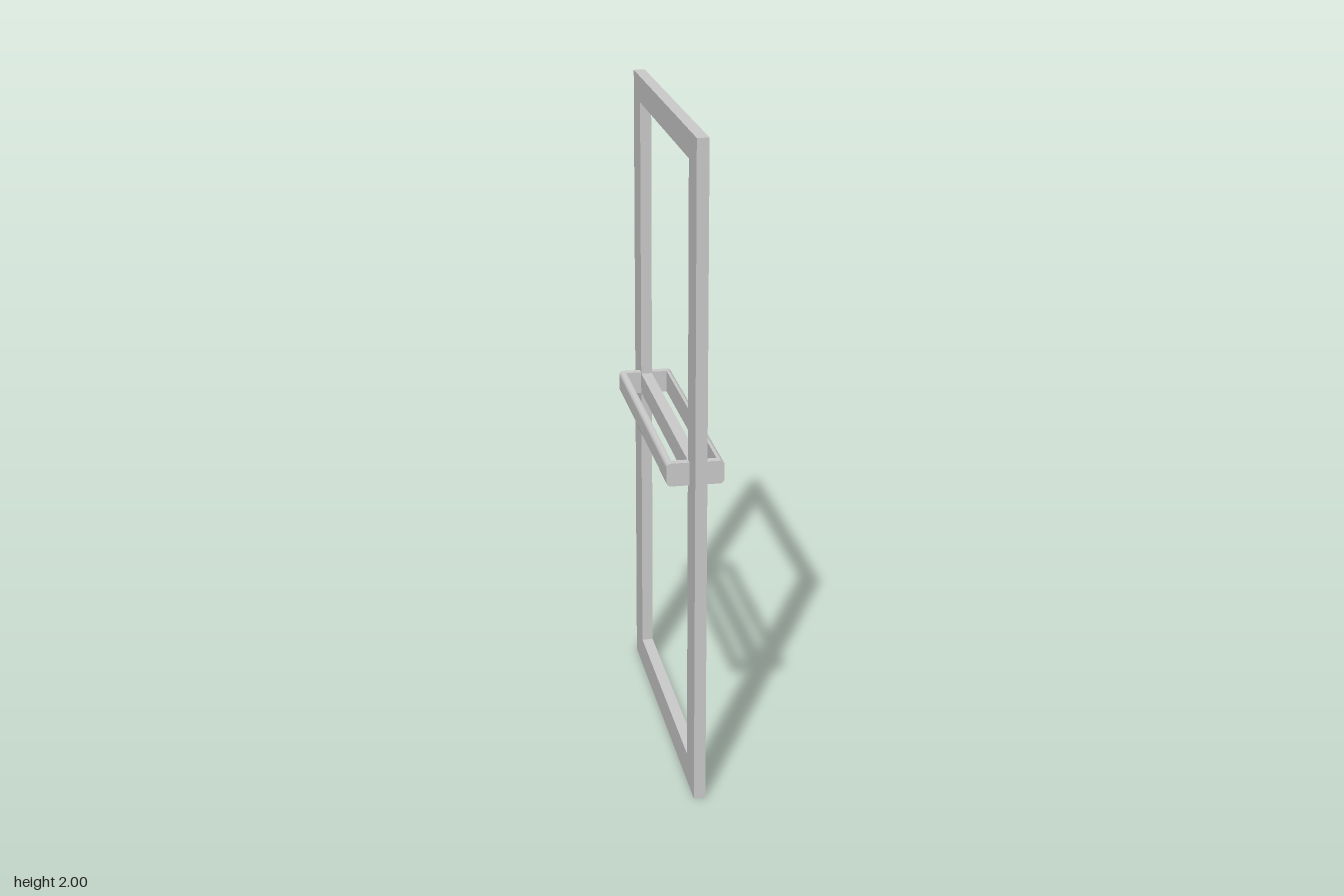
import * as THREE from 'three';

const material = new THREE.MeshStandardMaterial({ color: 0xcccccc });
const Z = 0.0025; // the handles and opening sit slightly forward of the frame centre

function addMesh(parent, name, geometry) {
  const mesh = new THREE.Mesh(geometry, material);
  mesh.name = name;
  parent.add(mesh);
  return mesh;
}

// Upright profile from x0 to x1 with its two outer corners rounded, swept along z
function roundedSlab(x0, x1, y0, y1, z0, z1, r = 0.014) {
  const s = new THREE.Shape();
  s.moveTo(x0, y0);
  s.lineTo(x1 - r, y0);
  s.absarc(x1 - r, y0 + r, r, -Math.PI / 2, 0, false);
  s.absarc(x1 - r, y1 - r, r, 0, Math.PI / 2, false);
  s.lineTo(x0, y1);
  s.closePath();
  return new THREE.ExtrudeGeometry(s, { depth: z1 - z0, bevelEnabled: false, curveSegments: 6 })
    .translate(0, 0, z0);
}

export function createModel() {
  const model = new THREE.Group();
  model.name = 'doorWithPushBars';

  // Flat door frame with two openings, drawn in z-y and turned into the x = 0 plane
  const T = 0.035, W = 0.5275;
  const outline = new THREE.Shape();
  outline.moveTo(-W, 0);
  outline.lineTo(W, 0);
  outline.lineTo(W, 2);
  outline.lineTo(-W, 2);
  outline.closePath();
  for (const [y0, y1] of [[0.09, 0.972], [1.036, 1.92]]) {
    const hole = new THREE.Path();
    hole.moveTo(Z - 0.41, y0);
    hole.lineTo(Z - 0.41, y1);
    hole.lineTo(Z + 0.41, y1);
    hole.lineTo(Z + 0.41, y0);
    hole.closePath();
    outline.holes.push(hole);
  }
  const frame = new THREE.ExtrudeGeometry(outline, { depth: T, bevelEnabled: false });
  frame.translate(0, 0, -T / 2).rotateY(-Math.PI / 2);
  addMesh(model, 'doorFrame', frame);

  // A push bar on each face, held off the door by a bracket at each end
  for (const side of [1, -1]) {
    const handle = new THREE.Group();
    handle.name = side > 0 ? 'leftPushBar' : 'rightPushBar';
    handle.rotation.y = side > 0 ? 0 : Math.PI;
    handle.position.z = Z;
    addMesh(handle, 'bar', roundedSlab(0.066, 0.085, 0.97, 1.04, -0.412, 0.412));
    for (const [z0, z1] of [[-0.4375, -0.412], [0.412, 0.4375]]) {
      addMesh(handle, 'endBracket', roundedSlab(T / 2, 0.085, 0.97, 1.04, z0, z1));
    }
    model.add(handle);
  }
  return model;
}
